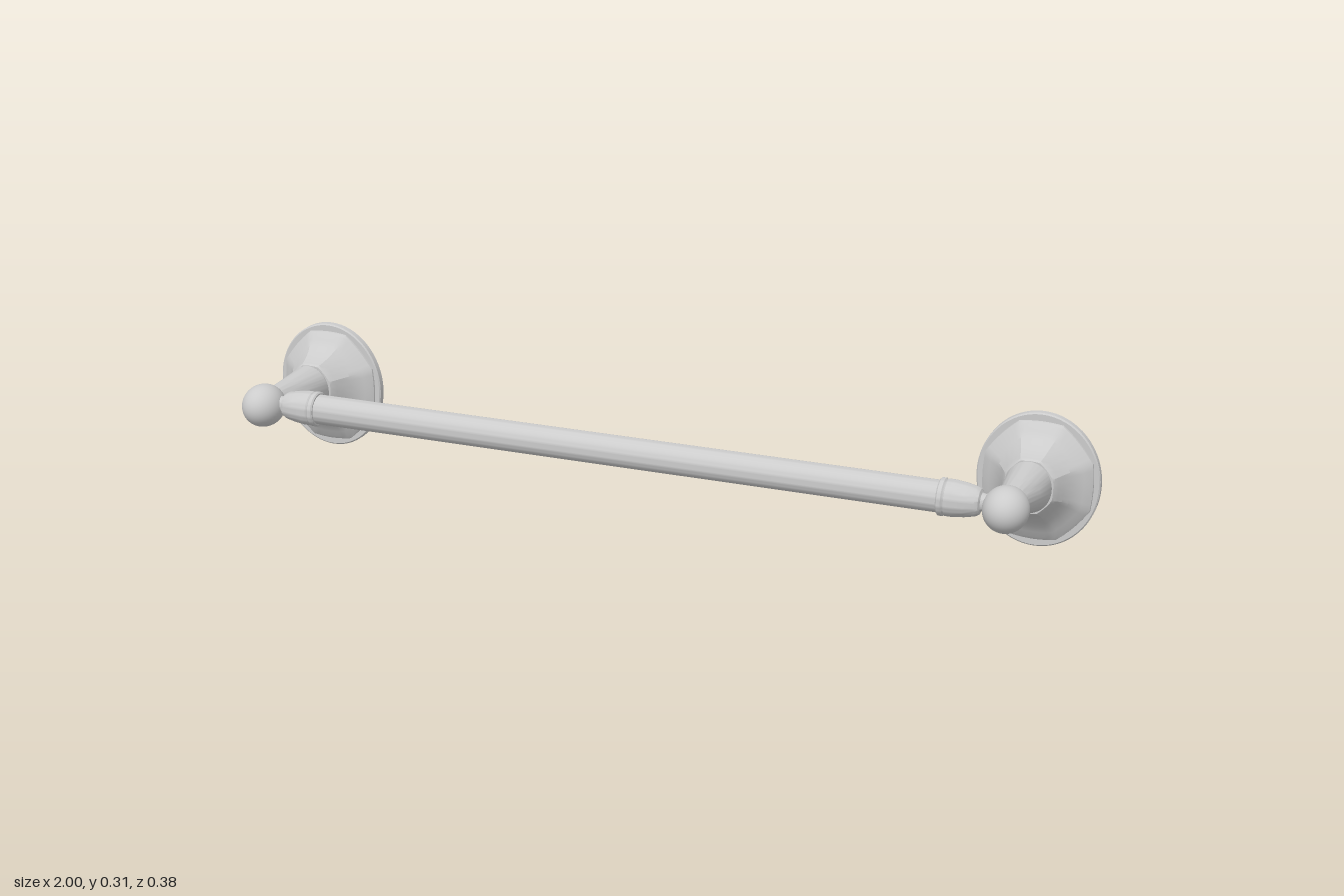
import * as THREE from 'three';
import { toCreasedNormals } from 'three/addons/utils/BufferGeometryUtils.js';

const material = new THREE.MeshStandardMaterial({ color: 0xcccccc });
const POST_X = 0.865, BAR_Y = 0.204, BAR_Z = 0.125;
const SEGMENTS = 64;

function part(name, geometry, crease = 0.42) {
  const mesh = new THREE.Mesh(toCreasedNormals(geometry, crease), material);
  mesh.name = name;
  return mesh;
}

// Closed skin over elliptical rings [z, centre y, half width, half height], back to front.
// panels blends each ring from an ellipse (0) towards an octagon (1).
function loft(rings, panels = 0) {
  const [first, last] = [rings[0], rings[rings.length - 1]];
  const closed = [[first[0], first[1], 0, 0], ...rings, [last[0], last[1], 0, 0]];
  const positions = [], index = [];
  closed.forEach(([z, cy, rx, ry], i) => {
    for (let j = 0; j < SEGMENTS; j++) {
      const a = (j / SEGMENTS) * Math.PI * 2;
      const step = Math.PI / 4;
      const local = a - Math.round(a / step) * step;
      const octagon = Math.cos(Math.PI / 8) / Math.cos(local);
      const k = 1 + panels * (octagon - 1);
      positions.push(rx * k * Math.cos(a), cy + ry * k * Math.sin(a), z);
      if (i === closed.length - 1) continue;
      const n = (j + 1) % SEGMENTS, p = i * SEGMENTS, q = p + SEGMENTS;
      if (rx > 0) index.push(p + j, p + n, q + n);
      if (closed[i + 1][2] > 0) index.push(p + j, q + n, q + j);
    }
  });
  const geometry = new THREE.BufferGeometry();
  geometry.setAttribute('position', new THREE.Float32BufferAttribute(positions, 3));
  geometry.setIndex(index);
  return geometry;
}

function createPost() {
  const post = new THREE.Group();

  // Flat oval wall plate
  post.add(part('wallPlate', loft([
    [-0.19, 0.153, 0.135, 0.153],
    [-0.176, 0.153, 0.135, 0.153],
    [-0.173, 0.153, 0.132, 0.15],
  ])));

  // Panelled bell flaring back to the plate, its axis rising towards the front
  post.add(part('flaredBase', loft([
    [-0.174, 0.153, 0.127, 0.142],
    [-0.169, 0.153, 0.126, 0.141],
    [-0.163, 0.154, 0.12, 0.134],
    [-0.155, 0.155, 0.108, 0.12],
    [-0.144, 0.158, 0.095, 0.106],
    [-0.13, 0.161, 0.083, 0.093],
    [-0.112, 0.165, 0.072, 0.08],
    [-0.096, 0.168, 0.064, 0.071],
    [-0.084, 0.17, 0.058, 0.066],
    [-0.08, 0.17, 0.055, 0.062],
  ], 0.6)));

  // Tapered arm with a narrow groove where it meets the bell
  post.add(part('arm', loft([
    [-0.084, 0.172, 0.047, 0.053],
    [-0.077, 0.172, 0.047, 0.053],
    [-0.076, 0.172, 0.05, 0.057],
    [-0.072, 0.173, 0.051, 0.058],
    [0, 0.183, 0.042, 0.045],
    [0.06, 0.192, 0.033, 0.035],
    [0.1, 0.197, 0.028, 0.029],
  ])));

  const ball = part('endBall', new THREE.SphereGeometry(1, 40, 28));
  ball.scale.set(0.048, 0.049, 0.056);
  ball.position.set(0, 0.199, 0.134);
  post.add(ball);
  return post;
}

export function createModel() {
  const model = new THREE.Group();
  model.name = 'towelBar';

  const bar = part('bar', new THREE.CylinderGeometry(0.034, 0.034, 1.47, 40));
  bar.rotation.z = Math.PI / 2;
  bar.position.set(0, BAR_Y, BAR_Z);
  model.add(bar);

  // Collar profile [radius, distance from the middle of the bar]
  const collarProfile = [
    [0, 0.724], [0.037, 0.724], [0.04, 0.727], [0.04, 0.735], [0.037, 0.738],
    [0.039, 0.741], [0.039, 0.755], [0.036, 0.78], [0.031, 0.803],
    [0.027, 0.81], [0.02, 0.813], [0.018, 0.82], [0.021, 0.835], [0, 0.84],
  ].map(([r, d]) => new THREE.Vector2(r, d));

  for (const side of [1, -1]) {
    const label = side > 0 ? 'left' : 'right';
    const post = createPost();
    post.name = label + 'Post';
    post.position.x = side * POST_X;

    const collar = part(label + 'Collar', new THREE.LatheGeometry(collarProfile, 40));
    collar.rotation.z = -side * Math.PI / 2;
    collar.position.set(0, BAR_Y, BAR_Z);
    model.add(post, collar);
  }
  return model;
}
